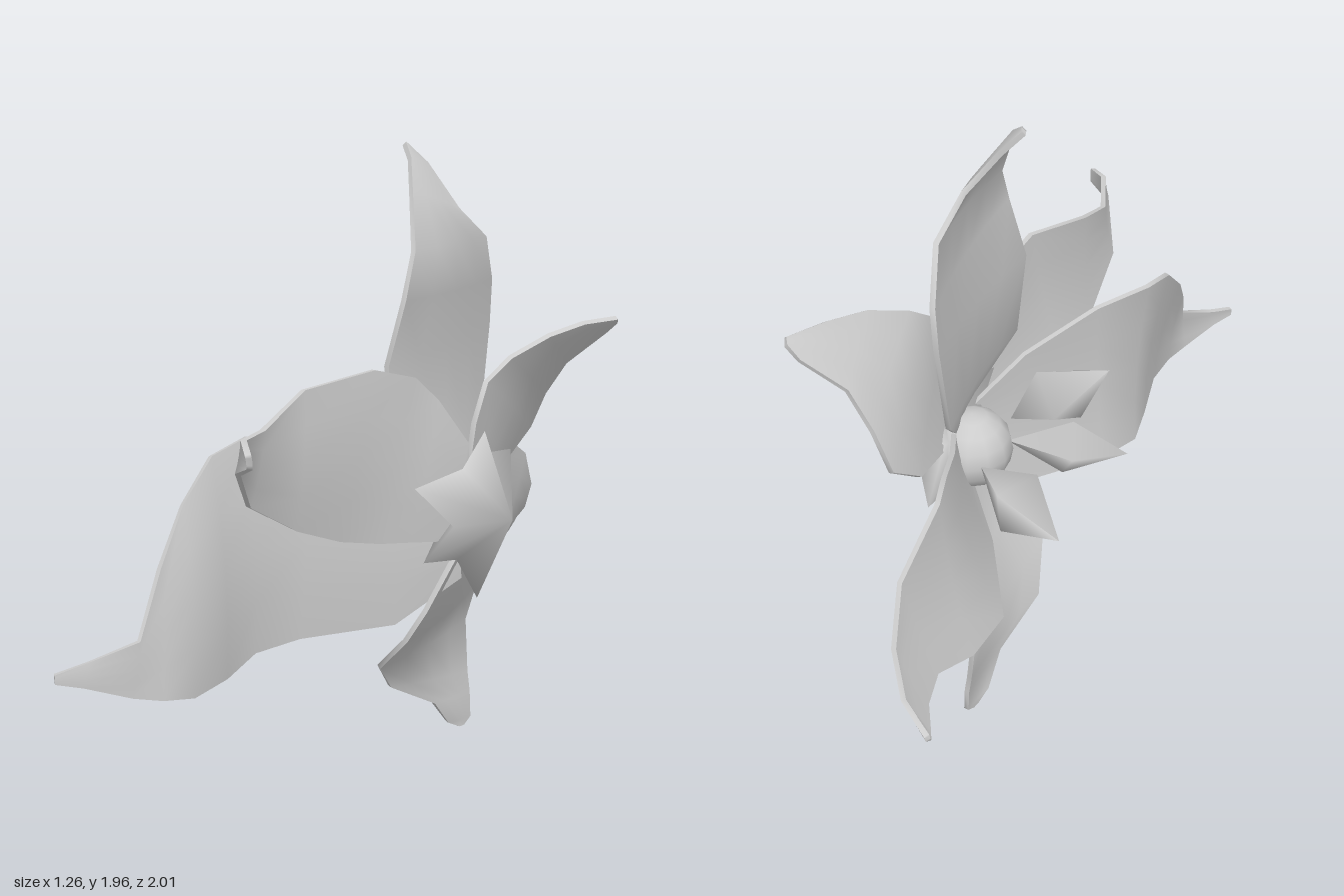
import * as THREE from 'three';

const grey = new THREE.MeshStandardMaterial({ color: 0xcccccc });
grey.name = 'pale grey';

const V = (p) => new THREE.Vector3(...p);

// Thin curved petal: rows run from root to tip, each a pair of left and right edge points.
function petal(name, rows, bulge = 0.03, thick = 0.016) {
  const n = 4, w = n + 1, grid = [];
  rows.forEach(([l, r], i) => {
    const L = V(l), R = V(r), prev = rows[Math.max(i - 1, 0)], next = rows[Math.min(i + 1, rows.length - 1)];
    const mid = (q) => V(q[0]).add(V(q[1])).multiplyScalar(0.5);
    const out = R.clone().sub(L).cross(mid(next).sub(mid(prev))).normalize();
    for (let j = 0; j <= n; j++) {
      const t = j / n;
      grid.push(L.clone().lerp(R, t).addScaledVector(out, bulge * L.distanceTo(R) * 4 * t * (1 - t)));
    }
  });
  const index = [];
  for (let i = 0; i < rows.length - 1; i++) {
    for (let j = 0; j < n; j++) {
      const a = i * w + j, b = a + 1, c = a + w, d = c + 1;
      index.push(a, b, c, b, d, c);
    }
  }
  const sheet = new THREE.BufferGeometry().setFromPoints(grid);
  sheet.setIndex(index);
  sheet.computeVertexNormals();
  const normals = grid.map((_, k) => new THREE.Vector3().fromBufferAttribute(sheet.attributes.normal, k));
  const outer = grid.map((p, k) => p.clone().addScaledVector(normals[k], thick / 2));
  const inner = grid.map((p, k) => p.clone().addScaledVector(normals[k], -thick / 2));

  // Border loop, then two sheets and a separate rim so the edge stays sharp
  const loop = [], m = rows.length - 1;
  for (let j = 0; j < n; j++) loop.push(j);
  for (let i = 0; i < m; i++) loop.push(i * w + n);
  for (let j = n; j > 0; j--) loop.push(m * w + j);
  for (let i = m; i > 0; i--) loop.push(i * w);
  const g = grid.length, count = loop.length;
  const points = [...outer, ...inner, ...loop.map((k) => outer[k]), ...loop.map((k) => inner[k])];
  const faces = [...index];
  for (let k = 0; k < index.length; k += 3) faces.push(index[k] + g, index[k + 2] + g, index[k + 1] + g);
  for (let k = 0; k < count; k++) {
    const a = 2 * g + k, b = 2 * g + (k + 1) % count;
    faces.push(a, a + count, b, b, a + count, b + count);
  }
  const geo = new THREE.BufferGeometry().setFromPoints(points);
  geo.setIndex(faces);
  geo.computeVertexNormals();
  const mesh = new THREE.Mesh(geo, grey);
  mesh.name = name;
  return mesh;
}

// Edge points [x, y, z] of the six petals
const petals = {
  topPetal: [
    [[0.22, 0.9, 0.04], [0.22, 0.9, -0.1]],
    [[0.07, 1.08, 0.21], [0.2, 1.1, -0.33]],
    [[0.04, 1.36, 0.2], [0.215, 1.4, -0.38]],
    [[0.09, 1.55, 0.2], [0.22, 1.54, -0.38]],
    [[0.1, 1.68, 0.13], [0.22, 1.68, -0.28]],
    [[0.06, 1.83, 0], [0.16, 1.77, -0.17]],
    [[0.03, 1.92, -0.1], [0.06, 1.9, -0.185]],
    [[0, 1.96, -0.155], [0, 1.955, -0.175]],
  ],
  upperFrontPetal: [
    [[0.23, 0.82, 0.03], [0.24, 0.98, -0.01]],
    [[0.18, 0.82, 0.09], [0.24, 1.11, 0.03]],
    [[0.1, 0.835, 0.17], [0.165, 1.25, 0.1]],
    [[0.03, 0.85, 0.25], [0.11, 1.325, 0.16]],
    [[-0.06, 0.88, 0.35], [0.03, 1.37, 0.3]],
    [[-0.14, 0.95, 0.5], [-0.12, 1.34, 0.47]],
    [[-0.2, 1.07, 0.7], [-0.17, 1.27, 0.66]],
    [[-0.17, 1.2, 0.85], [-0.16, 1.285, 0.83]],
    [[-0.12, 1.23, 0.9], [-0.12, 1.27, 0.91]],
  ],
  lowerFrontPetal: [
    [[0.22, 0.68, 0.0], [0.2, 0.9, 0.02]],
    [[0.04, 0.55, 0.11], [0.03, 1.06, 0.11]],
    [[-0.21, 0.54, 0.27], [-0.18, 1.15, 0.25]],
    [[-0.31, 0.53, 0.39], [-0.33, 1.17, 0.355]],
    [[-0.335, 0.515, 0.56], [-0.39, 1.14, 0.48]],
    [[-0.36, 0.53, 0.74], [-0.43, 1.03, 0.6]],
    [[-0.41, 0.555, 0.83], [-0.445, 0.89, 0.735]],
    [[-0.47, 0.58, 0.885], [-0.45, 0.735, 0.87]],
    [[-0.57, 0.63, 0.96], [-0.56, 0.695, 0.945]],
    [[-0.63, 0.65, 1], [-0.63, 0.675, 1]],
  ],
  lowerBackPetal: [
    [[0.23, 0.9, -0.02], [0.22, 0.78, -0.02]],
    [[0.2, 0.97, -0.28], [0.1, 0.6, -0.24]],
    [[0.2, 1.01, -0.43], [0.04, 0.51, -0.47]],
    [[0.2, 1.02, -0.56], [0.11, 0.5, -0.62]],
    [[0.28, 0.89, -0.74], [0.19, 0.565, -0.76]],
    [[0.285, 0.75, -0.85], [0.2, 0.56, -0.87]],
    [[0.25, 0.64, -0.93], [0.18, 0.555, -0.96]],
    [[0.18, 0.58, -0.995], [0.175, 0.56, -0.995]],
  ],
  upperBackPetal: [
    [[0.23, 0.94, 0.02], [0.23, 0.86, -0.08]],
    [[0.26, 1.17, 0.03], [0.28, 0.96, -0.38]],
    [[0.28, 1.28, -0.04], [0.34, 1.05, -0.475]],
    [[0.34, 1.345, -0.11], [0.39, 1.17, -0.45]],
    [[0.44, 1.4, -0.2], [0.46, 1.28, -0.415]],
    [[0.53, 1.425, -0.3], [0.58, 1.38, -0.425]],
    [[0.62, 1.43, -0.39], [0.615, 1.415, -0.41]],
  ],
  bottomPetal: [
    [[0.24, 0.8, -0.08], [0.23, 0.8, 0.03]],
    [[0.22, 0.64, -0.38], [0.13, 0.59, 0.085]],
    [[0.17, 0.5, -0.465], [0.07, 0.49, 0.09]],
    [[0.13, 0.36, -0.48], [-0.03, 0.37, 0.03]],
    [[0.15, 0.19, -0.43], [-0.03, 0.25, -0.1]],
    [[0.16, 0.12, -0.425], [0.08, 0.14, -0.25]],
    [[0.165, 0.03, -0.42], [0.11, 0.04, -0.33]],
    [[0.15, 0.01, -0.39], [0.14, 0.01, -0.37]],
  ],
};

// Star-shaped calyx: spikes and notches around an apex, closed and smoothed over the rim
function calyx() {
  const rim = [
    [0.29, 1.144, 0.013], [0.235, 1.037, 0.06], [0.12, 1.0, 0.18], [0.225, 0.877, 0.13],
    [0.14, 0.765, 0.15], [0.22, 0.754, 0.06], [0.26, 0.594, -0.06], [0.23, 0.743, -0.17],
    [0.27, 0.8, -0.33], [0.24, 0.914, -0.18], [0.33, 1.04, -0.2], [0.25, 1.053, -0.056],
  ];
  const n = rim.length;
  const geo = new THREE.BufferGeometry().setFromPoints([...rim, [0.375, 0.87, -0.01], [0.17, 0.87, -0.02]].map(V));
  const index = [];
  for (let i = 0; i < n; i++) {
    const j = (i + 1) % n;
    index.push(n, i, j, n + 1, j, i);
  }
  geo.setIndex(index);
  geo.computeVertexNormals();
  return new THREE.Mesh(geo, grey);
}

// Spindle-shaped stamen, four-sided and pointed at both ends
function stamen(base, tip, radius) {
  const a = V(base), b = V(tip), len = a.distanceTo(b);
  const profile = [[0, 0], [radius, len * 0.5], [0, len]].map((p) => new THREE.Vector2(...p));
  const mesh = new THREE.Mesh(new THREE.LatheGeometry(profile, 4), grey);
  mesh.position.copy(a);
  mesh.quaternion.setFromUnitVectors(new THREE.Vector3(0, 1, 0), b.sub(a).normalize());
  return mesh;
}

export function createModel() {
  const flower = new THREE.Group();
  flower.name = 'flower';
  for (const [name, rows] of Object.entries(petals)) flower.add(petal(name, rows));

  const star = calyx();
  star.name = 'calyx';
  flower.add(star);

  // Round heart of the flower
  const heart = new THREE.Mesh(new THREE.SphereGeometry(0.125, 12, 8), grey);
  heart.name = 'heart';
  heart.position.set(0.17, 0.84, -0.08);
  flower.add(heart);

  const stamens = [
    [[0.13, 0.85, -0.19], [-0.13, 0.85, -0.49], 0.1],
    [[0.05, 0.97, -0.1], [-0.24, 1.2, -0.14], 0.105],
    [[0.07, 0.82, -0.02], [-0.3, 0.74, 0.05], 0.09],
  ];
  stamens.forEach((s, i) => {
    const mesh = stamen(...s);
    mesh.name = `stamen${i + 1}`;
    flower.add(mesh);
  });
  return flower;
}
